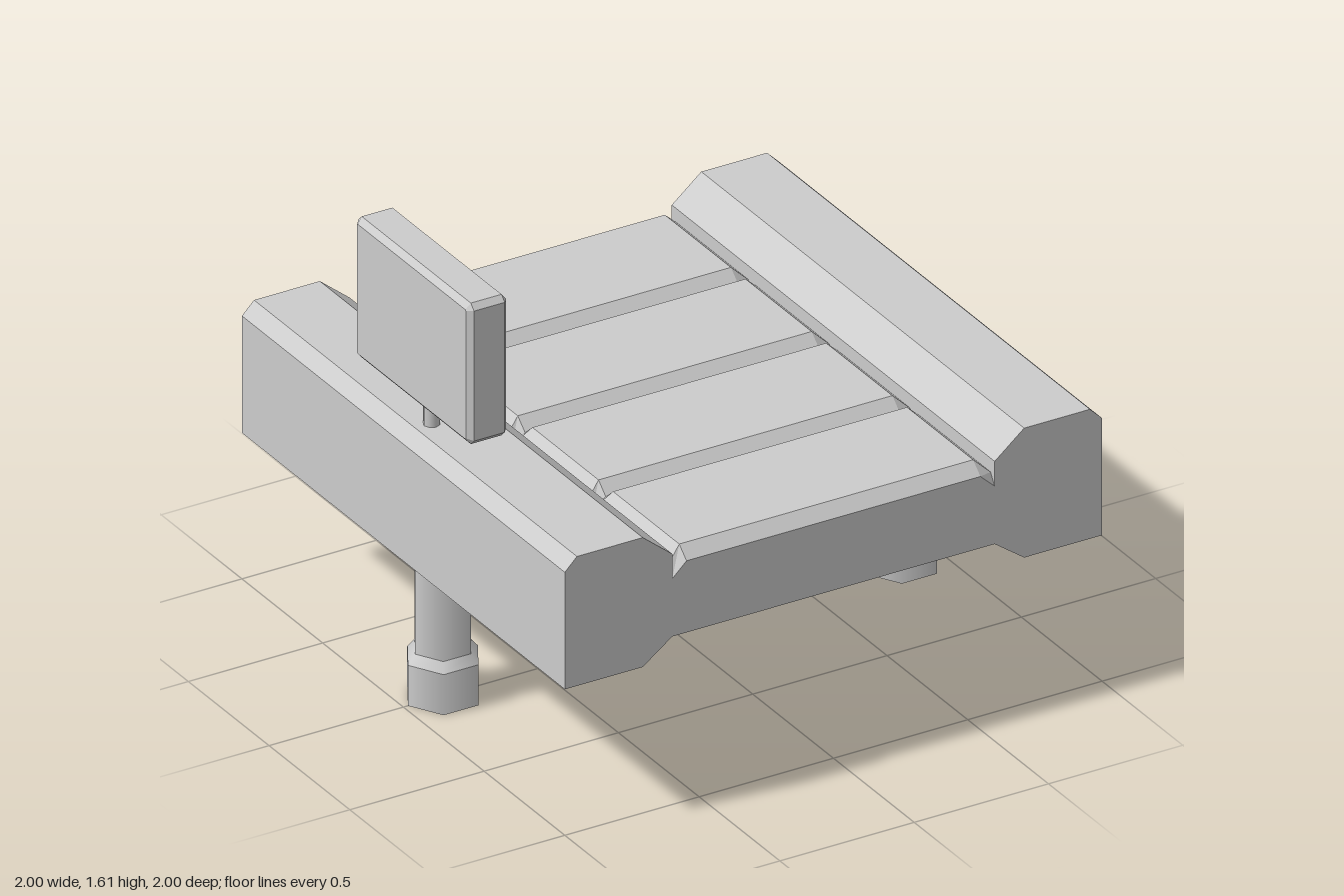
import * as THREE from 'three';

const smooth = new THREE.MeshStandardMaterial({ color: 0xcccccc });
const flat = new THREE.MeshStandardMaterial({ color: 0xcccccc, flatShading: true });

function add(parent, name, geometry, material, x = 0, y = 0, z = 0) {
  const mesh = new THREE.Mesh(geometry, material);
  mesh.name = name;
  mesh.position.set(x, y, z);
  parent.add(mesh);
  return mesh;
}

// Loft of corner-cut rectangles along x; each ring is [x, halfHeight, halfWidth, cornerCut, yOffset]
function loftX(rings) {
  const pos = [];
  const loops = rings.map(([x, h, w, c, dy = 0]) =>
    [[h, -w + c], [h, w - c], [h - c, w], [-h + c, w], [-h, w - c], [-h, -w + c], [-h + c, -w], [h - c, -w]]
      .map(([y, z]) => [x, y + dy, z]));
  const tri = (a, b, c) => pos.push(...a, ...b, ...c);
  for (let r = 0; r < loops.length - 1; r++) {
    for (let i = 0; i < 8; i++) {
      const j = (i + 1) % 8, A = loops[r], B = loops[r + 1];
      tri(A[i], A[j], B[j]);
      tri(A[i], B[j], B[i]);
    }
  }
  const first = loops[0], last = loops[loops.length - 1];
  for (let i = 1; i < 7; i++) {
    tri(first[0], first[i + 1], first[i]);
    tri(last[0], last[i], last[i + 1]);
  }
  const g = new THREE.BufferGeometry();
  g.setAttribute('position', new THREE.Float32BufferAttribute(pos, 3));
  g.computeVertexNormals();
  return g;
}

// Bed panel: a grid whose borders drop into bevels
function panelGeometry() {
  const g = new THREE.PlaneGeometry(1.2, 0.5, 3, 3).rotateX(-Math.PI / 2);
  const p = g.attributes.position;
  for (let i = 0; i < p.count; i++) {
    const col = i % 4, row = Math.floor(i / 4);
    const side = col === 0 || col === 3, end = row === 0 || row === 3;
    const x = Math.sign(p.getX(i)) * (side ? 0.6 : 0.547);
    const z = Math.sign(p.getZ(i)) * (end ? 0.25 : side ? 0.225 : 0.205);
    p.setXYZ(i, x, 0.91 - (side ? 0.05 : 0) - (end ? 0.04 : 0), z);
  }
  g.computeVertexNormals();
  return g;
}

export function createModel() {
  const model = new THREE.Group();
  model.name = 'conveyorTable';

  // Body: mirrored profile with raised side rails
  const half = [[0.6, 0.61], [0.71, 0.53], [1, 0.53], [1, 0.955], [0.955, 1],
    [0.71, 1], [0.6, 0.91], [0.6, 0.82], [0.547, 0.87]];
  const profile = [...half, ...half.map(([x, y]) => [-x, y]).reverse()];
  const shape = new THREE.Shape(profile.map(([x, y]) => new THREE.Vector2(x, y)));
  add(model, 'body', new THREE.ExtrudeGeometry(shape, { depth: 2, bevelEnabled: false }), flat, 0, 0, -1);

  // Four bevelled bed panels
  const panel = panelGeometry();
  for (let i = 0; i < 4; i++) add(model, 'bedPanel', panel, flat, 0, 0, -0.75 + i * 0.5);

  // Six-sided legs with wider feet
  for (const side of [-1, 1]) {
    const leg = new THREE.Group();
    leg.name = side > 0 ? 'leftLeg' : 'rightLeg';
    leg.position.x = side * 0.853;
    leg.rotation.y = Math.PI / 6;
    add(leg, 'legPost', new THREE.CylinderGeometry(0.103, 0.103, 0.37, 6), smooth, 0, 0.355);
    add(leg, 'footTaper', new THREE.CylinderGeometry(0.103, 0.13, 0.033, 6, 1, true), smooth, 0, 0.1635);
    add(leg, 'foot', new THREE.CylinderGeometry(0.13, 0.13, 0.147, 6), smooth, 0, 0.0735);
    model.add(leg);
  }

  // Control monitor with recessed screen facing +x
  const monitor = new THREE.Group();
  monitor.name = 'monitor';
  monitor.position.set(-0.895, 1.355, 0);
  add(monitor, 'monitorCase', loftX([
    [-0.075, 0.235, 0.337, 0.004], [-0.057, 0.256, 0.358, 0.02],
    [0.057, 0.256, 0.358, 0.02], [0.075, 0.235, 0.337, 0.004],
    [0.075, 0.167, 0.277, 0.0005, 0.01], [0.03, 0.14, 0.225, 0.0005, 0.015],
  ]), flat);
  add(monitor, 'monitorPost', new THREE.CylinderGeometry(0.028, 0.028, 0.13, 8), smooth, 0, -0.305);

  // Two push buttons below the screen
  const button = loftX([[0, 0.025, 0.025, 0.006], [0.038, 0.025, 0.025, 0.006], [0.045, 0.019, 0.019, 0.002]]);
  for (const z of [0.16, 0.248]) add(monitor, 'button', button, flat, 0.072, -0.187, z);
  model.add(monitor);

  return model;
}
